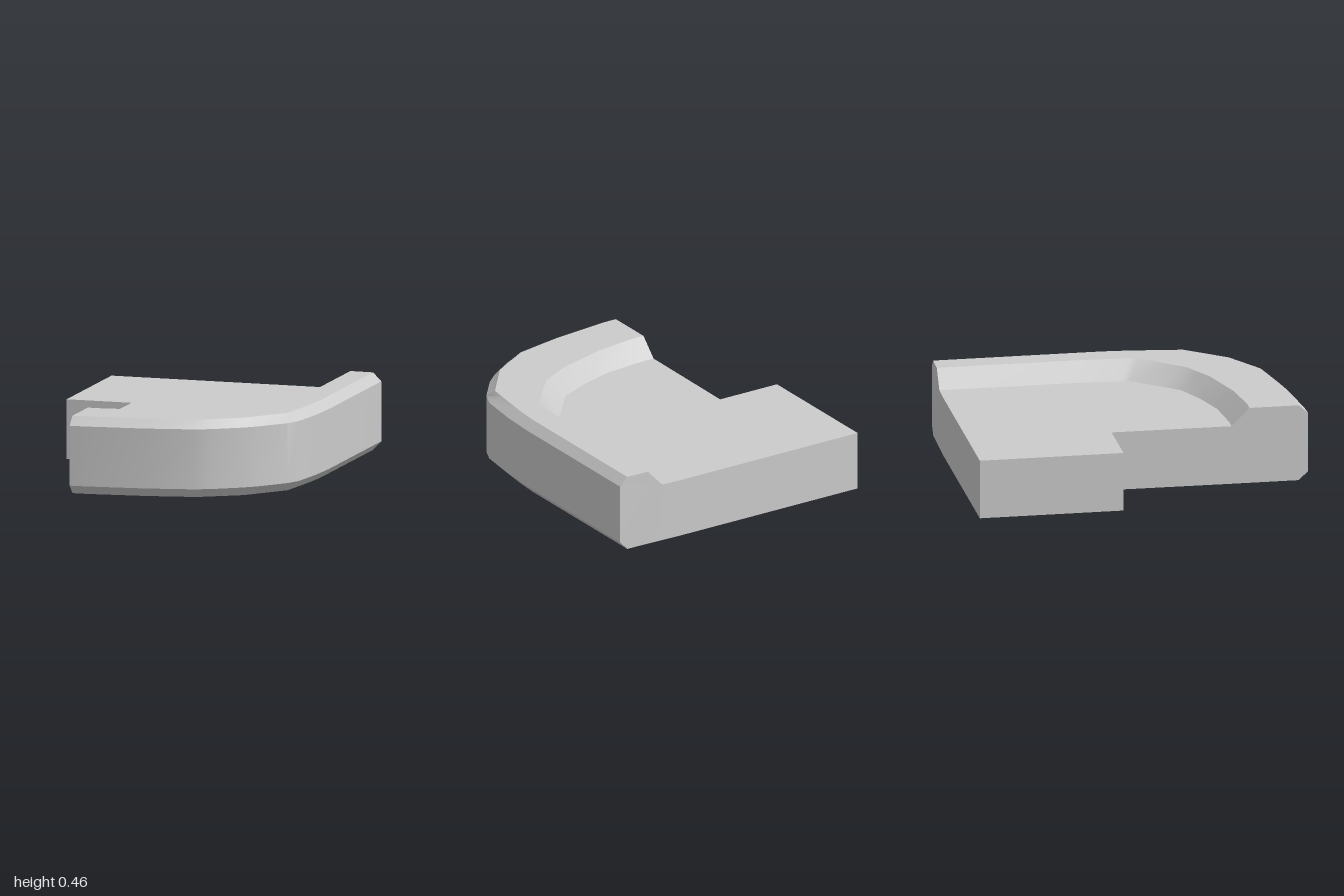
import * as THREE from 'three';
import { toCreasedNormals } from 'three/addons/utils/BufferGeometryUtils.js';

// Plan stations [x, z] round the bend: outer wall, bevel edge, rim edge, floor edge
const stations = [
  [[-0.435, 1], [-0.435, 0.945], [-0.435, 0.655], [-0.435, 0.55]],
  [[-0.34, 0.997], [-0.35, 0.945], [-0.35, 0.655], [-0.35, 0.55]],
  [[0, 0.96], [0, 0.907], [-0.1, 0.62], [-0.1, 0.525]],
  [[0.29, 0.9], [0.29, 0.85], [0.19, 0.535], [0.1, 0.465]],
  [[0.38, 0.86], [0.36, 0.808], [0.29, 0.483], [0.195, 0.423]],
  [[0.53, 0.76], [0.53, 0.705], [0.39, 0.43], [0.29, 0.38]],
  [[0.61, 0.69], [0.593, 0.627], [0.463, 0.347], [0.363, 0.293]],
  [[0.74, 0.53], [0.72, 0.47], [0.61, 0.18], [0.51, 0.12]],
  [[0.78, 0.44], [0.733, 0.37], [0.614, 0.13], [0.514, 0.07]],
  [[0.81, 0.2], [0.76, 0.15], [0.62, 0.03], [0.52, 0]],
  [[0.82, 0], [0.77, 0], [0.63, -0.18], [0.53, -0.18]],
  [[0.82, -0.99], [0.77, -0.991], [0.63, -0.995], [0.53, -0.997]],
];

// Section of the curb, from floor edge over the rim and down to the underside
function section([outer, bevel, rim, floor]) {
  const at = ([x, z], y) => [x, y, z];
  return [at(floor, 0.35), at(rim, 0.455), at(bevel, 0.455), at(outer, 0.405),
    at(outer, 0.053), at(bevel, 0), at(floor, 0)];
}

function curbGeometry() {
  const rows = stations.map(section);
  const pos = [];
  const tri = (a, b, c) => pos.push(...a, ...b, ...c);
  for (let s = 0; s < rows.length - 1; s++) {
    const a = rows[s], b = rows[s + 1];
    for (let p = 0; p < a.length - 1; p++) {
      tri(a[p], a[p + 1], b[p]);
      tri(a[p + 1], b[p + 1], b[p]);
    }
  }
  // End caps
  const first = rows[0], last = rows[rows.length - 1];
  for (let p = 1; p < first.length - 1; p++) {
    tri(first[0], first[p + 1], first[p]);
    tri(last[0], last[p], last[p + 1]);
  }
  const geo = new THREE.BufferGeometry();
  geo.setAttribute('position', new THREE.Float32BufferAttribute(pos, 3));
  return toCreasedNormals(geo, 0.6);
}

// Flat floor inside the curb, with the notched left edge
function slabGeometry() {
  const outline = [
    [-0.825, -0.155], [-0.825, -1], [0.4, -1],
    ...stations.map((s) => s[3]).reverse(),
    [-0.43, -0.155],
  ];
  const shape = new THREE.Shape(outline.map(([x, z]) => new THREE.Vector2(x, -z)));
  const geo = new THREE.ExtrudeGeometry(shape, { depth: 0.35, bevelEnabled: false });
  geo.rotateX(-Math.PI / 2);
  return geo;
}

export function createModel() {
  const group = new THREE.Group();
  const material = new THREE.MeshStandardMaterial({ color: 0xcccccc });
  const add = (name, geometry) => {
    const mesh = new THREE.Mesh(geometry, material);
    mesh.name = name;
    group.add(mesh);
  };
  add('floorSlab', slabGeometry());
  add('curvedCurb', curbGeometry());
  return group;
}
